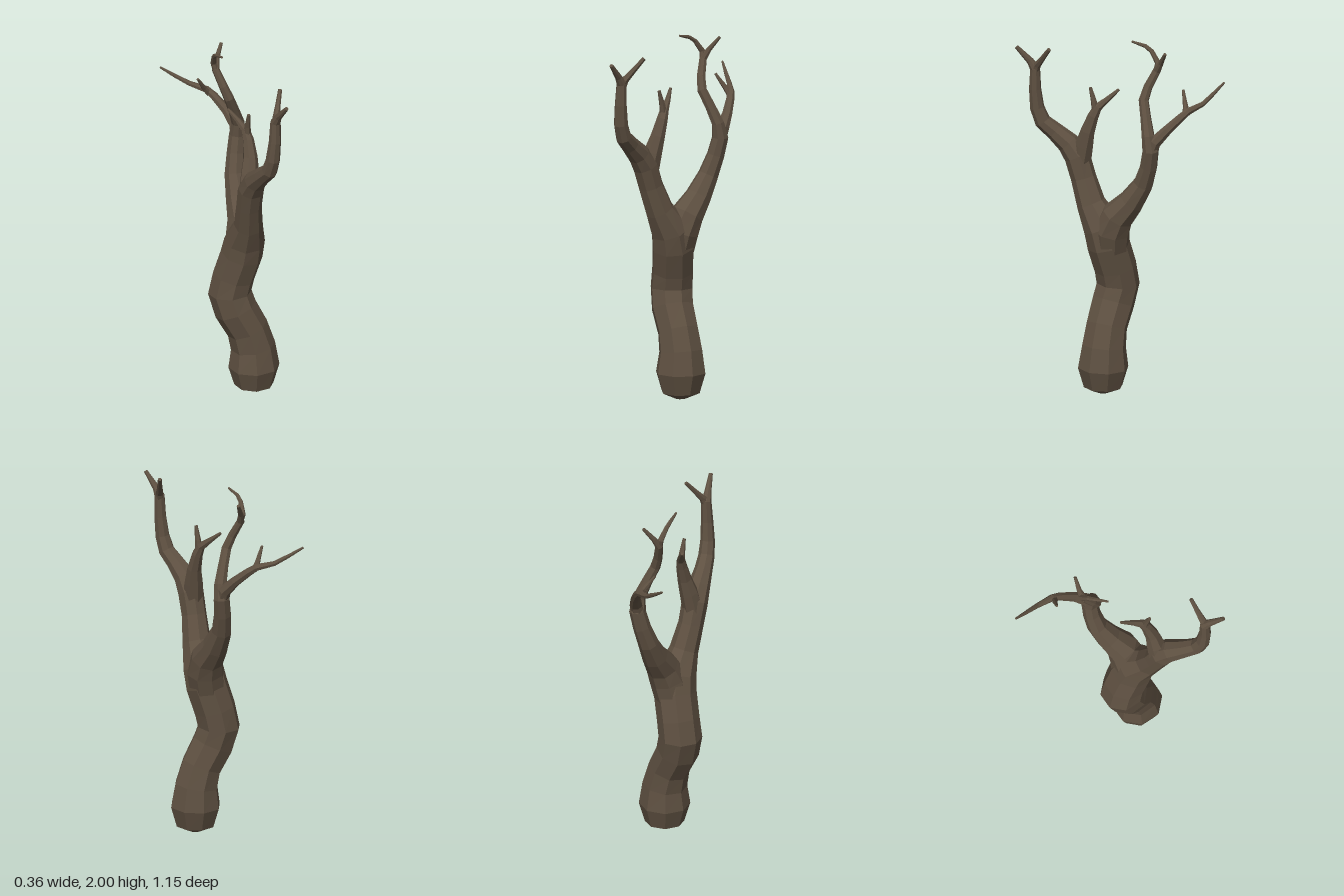
import * as THREE from 'three';

// Faceted tube through stations [x, y, z, radius], closed at both ends
function limb(stations, sides) {
  const pts = stations.map(s => new THREE.Vector3(s[0], s[1], s[2]));
  const last = pts.length - 1;
  const dirs = pts.slice(1).map((p, i) => p.clone().sub(pts[i]).normalize());
  const pos = [], idx = [];
  const u = new THREE.Vector3(), v = new THREE.Vector3(), q = new THREE.Quaternion();
  let prev = null;
  pts.forEach((p, i) => {
    const t = dirs[Math.max(i - 1, 0)].clone().add(dirs[Math.min(i, last - 1)]).normalize();
    if (!prev) u.set(1, 0, 0).addScaledVector(t, -t.x).normalize();
    else u.applyQuaternion(q.setFromUnitVectors(prev, t));
    v.crossVectors(t, u);
    prev = t;
    for (let j = 0; j < sides; j++) {
      const a = (j + 0.3) / sides * Math.PI * 2;
      const w = p.clone().addScaledVector(u, Math.cos(a) * stations[i][3])
        .addScaledVector(v, Math.sin(a) * stations[i][3]);
      pos.push(w.x, w.y, w.z);
    }
  });
  const at = (i, j) => i * sides + j % sides;
  const c0 = pos.length / 3, c1 = c0 + 1;
  pos.push(...pts[0].toArray(), ...pts[last].toArray());
  for (let j = 0; j < sides; j++) {
    for (let i = 0; i < last; i++) {
      idx.push(at(i, j), at(i, j + 1), at(i + 1, j + 1), at(i, j), at(i + 1, j + 1), at(i + 1, j));
    }
    idx.push(c0, at(0, j + 1), at(0, j), c1, at(last, j), at(last, j + 1));
  }
  const indexed = new THREE.BufferGeometry();
  indexed.setAttribute('position', new THREE.Float32BufferAttribute(pos, 3));
  indexed.setIndex(idx);
  const g = indexed.toNonIndexed();
  g.computeVertexNormals(); // one normal per facet
  return g;
}

export function createModel() {
  const group = new THREE.Group();
  group.name = 'bareTree';
  const bark = new THREE.MeshStandardMaterial({ color: 0x5e5041 });
  bark.name = 'barkBrown';
  const add = (name, sides, stations) => {
    const m = new THREE.Mesh(limb(stations, sides), bark);
    m.name = name;
    group.add(m);
  };

  // Winding trunk with rounded foot, running on into the front limb
  add('trunk', 8, [
    [0.04, 0.005, 0.09, 0.03], [0.04, 0.04, 0.09, 0.108], [0.04, 0.15, 0.09, 0.141],
    [0.037, 0.27, 0.085, 0.123], [0.01, 0.38, 0.07, 0.115], [-0.045, 0.5, 0.035, 0.119],
    [-0.065, 0.6, 0.01, 0.12], [-0.05, 0.7, 0.025, 0.117], [-0.025, 0.84, 0.063, 0.118],
    [-0.025, 0.94, 0.09, 0.112], [-0.055, 1.06, 0.158, 0.08], [-0.085, 1.2, 0.2, 0.07],
    [-0.1, 1.32, 0.235, 0.072], [-0.112, 1.39, 0.285, 0.062], [-0.122, 1.455, 0.36, 0.05],
    [-0.125, 1.51, 0.425, 0.045], [-0.125, 1.59, 0.455, 0.04], [-0.12, 1.7, 0.466, 0.034],
    [-0.115, 1.82, 0.466, 0.029], [-0.118, 1.86, 0.493, 0.02], [-0.12, 1.94, 0.568, 0.011]]);
  add('frontTopTwig', 6, [
    [-0.115, 1.79, 0.466, 0.022], [-0.1, 1.84, 0.455, 0.021], [-0.065, 1.89, 0.425, 0.015],
    [-0.018, 1.958, 0.387, 0.011]]);

  // Inner fork of the front limb
  add('frontInnerBranch', 7, [
    [-0.095, 1.28, 0.215, 0.06], [-0.075, 1.39, 0.195, 0.052], [-0.055, 1.48, 0.175, 0.04],
    [-0.045, 1.57, 0.145, 0.031], [-0.045, 1.62, 0.12, 0.024], [-0.055, 1.66, 0.07, 0.016],
    [-0.075, 1.713, 0.005, 0.008]]);
  add('frontInnerTwig', 6, [
    [-0.045, 1.59, 0.133, 0.022], [-0.047, 1.65, 0.142, 0.017], [-0.055, 1.73, 0.162, 0.009]]);

  // Back limb leading up into its tall branch
  add('backLimb', 8, [
    [-0.02, 0.8, 0.05, 0.1], [0.01, 0.93, 0.045, 0.104], [0.035, 1.02, 0.01, 0.092],
    [0.06, 1.11, -0.065, 0.073], [0.085, 1.22, -0.13, 0.057], [0.115, 1.33, -0.16, 0.049],
    [0.137, 1.43, -0.172, 0.046], [0.13, 1.51, -0.158, 0.036], [0.09, 1.6, -0.145, 0.03],
    [0.045, 1.69, -0.132, 0.028], [0.025, 1.76, -0.155, 0.025], [0.01, 1.85, -0.203, 0.022],
    [0.035, 1.9, -0.225, 0.015], [0.088, 1.97, -0.25, 0.009]]);
  add('backTopTwig', 6, [
    [0.012, 1.83, -0.195, 0.018], [0.0, 1.89, -0.21, 0.017], [-0.025, 1.95, -0.175, 0.013],
    [-0.04, 1.975, -0.14, 0.011], [-0.058, 1.995, -0.065, 0.006]]);

  // Long rear branch sweeping outward
  add('rearBranch', 7, [
    [0.13, 1.4, -0.165, 0.038], [0.14, 1.48, -0.195, 0.036], [0.13, 1.545, -0.26, 0.028],
    [0.105, 1.61, -0.335, 0.023], [0.085, 1.64, -0.375, 0.02], [0.028, 1.665, -0.455, 0.014],
    [-0.025, 1.705, -0.51, 0.011], [-0.083, 1.753, -0.57, 0.006]]);
  add('rearTwig', 6, [
    [0.09, 1.62, -0.36, 0.017], [0.06, 1.66, -0.362, 0.015], [0.03, 1.7, -0.354, 0.011],
    [0.002, 1.738, -0.348, 0.007]]);
  return group;
}
